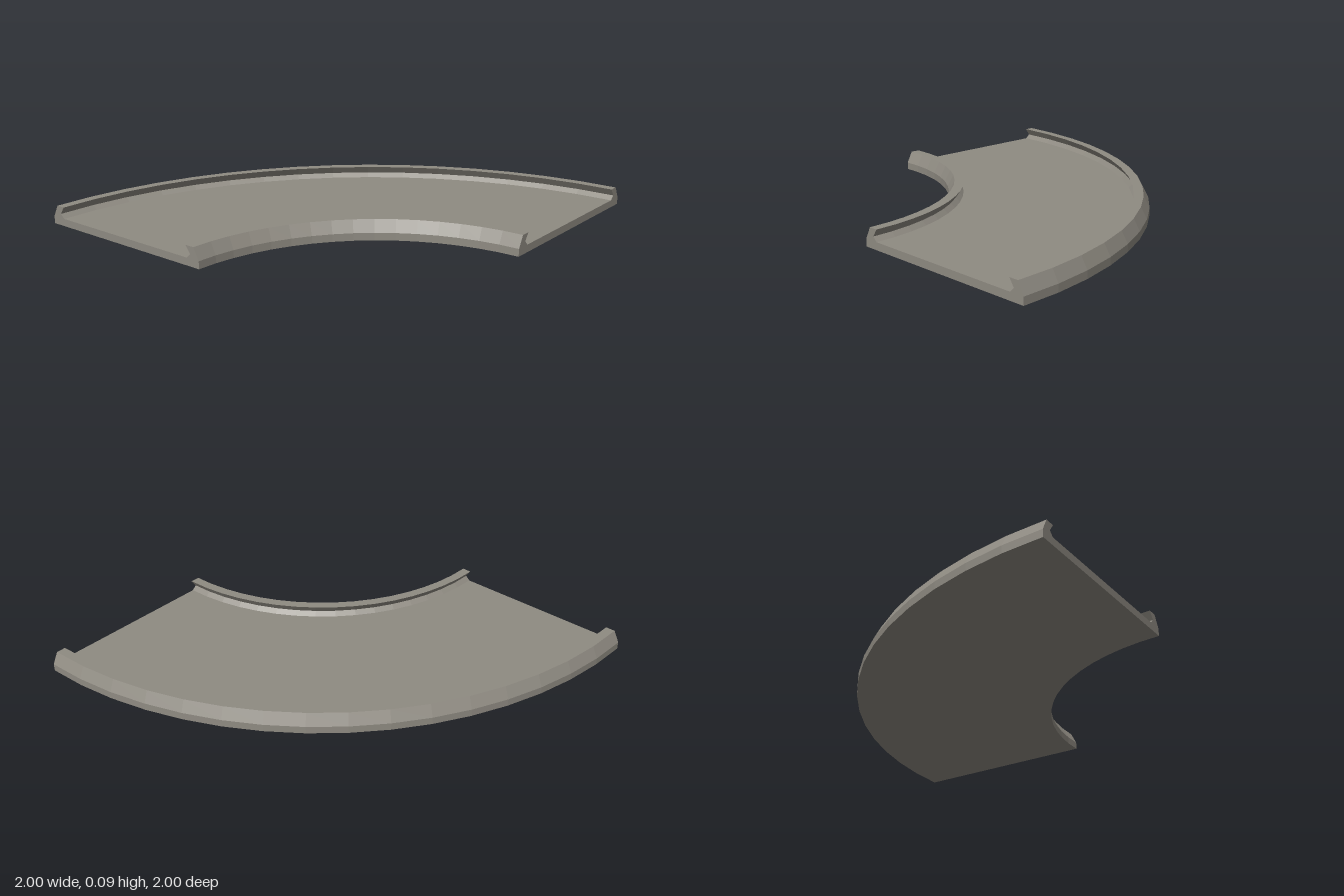
import * as THREE from 'three';

export function createModel() {
  const group = new THREE.Group();
  group.name = 'curvedChannel';
  const stone = new THREE.MeshStandardMaterial({ color: 0x8f8b82 });
  stone.name = 'warm grey';
  stone.flatShading = true;

  // Rim section as [distance from channel middle, height], floor to outer foot
  const rim = [[0.425, 0.037], [0.447, 0.058], [0.422, 0.095], [0.47, 0.095], [0.5, 0.037], [0.5, 0]];
  const middle = 1.5;
  const outer = rim.map(([d, y]) => new THREE.Vector2(middle + d, y)).reverse();
  const inner = rim.map(([d, y]) => new THREE.Vector2(middle - d, y));
  const section = [...outer, ...inner]; // counterclockwise in (radius, height)

  const add = (name, geometry) => {
    const mesh = new THREE.Mesh(geometry, stone);
    mesh.name = name;
    mesh.position.set(1, 0, 1); // centre of the bend
    group.add(mesh);
  };

  // Quarter-turn sweep of the closed section
  add('channelBody', new THREE.LatheGeometry([...section, section[0].clone()], 16, Math.PI, Math.PI / 2));

  // Flat ends of the bend
  add('backEnd', new THREE.ShapeGeometry(new THREE.Shape(section)).rotateY(Math.PI / 2));
  const mirrored = section.map((p) => new THREE.Vector2(-p.x, p.y));
  add('frontEnd', new THREE.ShapeGeometry(new THREE.Shape(mirrored)));

  return group;
}
